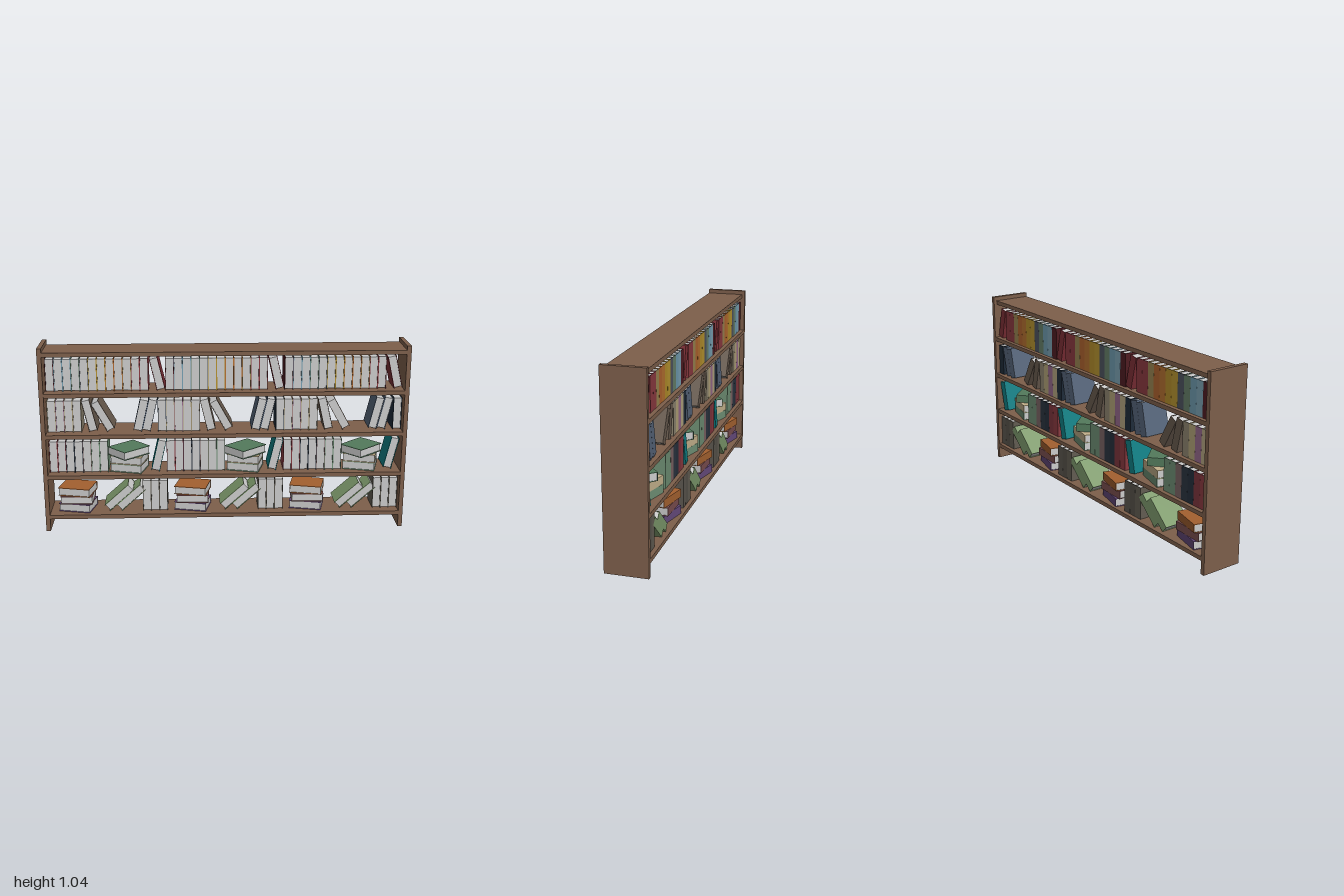
import * as THREE from 'three';

const T = 0.046, H = 0.18, D = 0.15, BOARD = 0.003; // book thickness, height, depth, cover board
const PERIOD = 0.648, START = -0.97, BOOK_Z = -0.026;

const materials = new Map();
function mat(color) {
  if (!materials.has(color)) materials.set(color, new THREE.MeshStandardMaterial({ color }));
  return materials.get(color);
}

// U-shaped binding: two boards joined by a spine on the -z side
function coverGeometry() {
  const a = T / 2, b = a - BOARD, d = D / 2;
  const u = new THREE.Shape([
    [-a, -d], [a, -d], [a, d], [b, d], [b, -d + BOARD], [-b, -d + BOARD], [-b, d], [-a, d],
  ].map(([x, y]) => new THREE.Vector2(x, y)));
  const g = new THREE.ExtrudeGeometry(u, { depth: H, bevelEnabled: false });
  return g.rotateX(Math.PI / 2).translate(0, H / 2, 0);
}

export function createModel() {
  const model = new THREE.Group();
  model.name = 'bookcase';
  const wood = 0x7d5f4b;

  function plank(name, w, h, d, x, y, z) {
    const m = new THREE.Mesh(new THREE.BoxGeometry(w, h, d), mat(wood));
    m.name = name;
    m.position.set(x, y, z);
    model.add(m);
  }

  // Frame: two side panels and five shelves, the top one shallower at the back
  for (const s of [-1, 1]) plank(s > 0 ? 'leftSide' : 'rightSide', 0.024, 1.042, 0.23, s * 0.988, 0.521, -0.01);
  const floors = [0.094, 0.327, 0.56, 0.793];
  floors.forEach((y, i) => plank('shelf' + (i + 1), 1.952, 0.023, 0.228, 0, y - 0.0115, -0.01));
  plank('topShelf', 1.952, 0.023, 0.212, 0, 1.0075, -0.001);

  const cover = coverGeometry();
  const block = new THREE.BoxGeometry(T - 2 * BOARD, H - 0.006, D - 0.008)
    .translate(0, 0, -0.002);

  function book(color, x, y, z, turn, tilt) {
    const g = new THREE.Group();
    g.name = 'book';
    const binding = new THREE.Mesh(cover, mat(color));
    binding.name = 'cover';
    const pages = new THREE.Mesh(block, mat(0xcccccc));
    pages.name = 'pages';
    g.add(binding, pages);
    g.position.set(x, y, z);
    g.rotation.set(0, turn, tilt);
    model.add(g);
  }

  const rad = THREE.MathUtils.degToRad;

  // Upright books side by side, from x
  function upright(x, floor, colors) {
    colors.forEach((c, i) => book(c, x + (i + 0.5) * 0.0463, floor + H / 2, BOOK_Z, 0, 0));
  }

  // One leaning book whose lowest corner rests on the shelf and leftmost corner is at x
  function leaning(x, floor, color, degrees) {
    const a = rad(degrees), c = Math.cos(a), s = Math.abs(Math.sin(a));
    book(color, x + (T * c + H * s) / 2, floor + (H * c + T * s) / 2, BOOK_Z, 0, a);
  }

  // Lying books, bottom to top: [color, turn in degrees, z]
  function stack(x, floor, list) {
    list.forEach(([c, deg, z], i) => book(c, x, floor + (i + 0.5) * T, z, rad(deg), Math.PI / 2));
  }

  // The same arrangement repeats three times along every shelf
  for (let i = 0; i < 3; i++) {
    const x = START + i * PERIOD;
    const [f1, f2, f3, f4] = floors;

    // Bottom shelf
    stack(x + 0.142, f1, [[0x664a7c, -13, -0.015], [0x7c4f50, -2, -0.015], [0xa3602f, -13, -0.015]]);
    leaning(x + 0.294, f1, 0x7e9a6c, -48);
    leaning(x + 0.361, f1, 0x7e9a6c, -48);
    upright(x + 0.51, f1, [0x625d52, 0x57534a, 0x5c574f]);

    // Second shelf
    upright(x, f2, [0x8a3a40, 0x7d343c, 0x26303c, 0x2b3440, 0x7c6464, 0x6f9075, 0x6f9075]);
    stack(x + 0.438, f2, [[0x6f9075, -15, -0.01], [0xc2b08a, -14, -0.01], [0x537a5c, 42, 0.012]]);
    leaning(x + 0.562, f2, 0x0f7f84, -13);

    // Third shelf
    upright(x, f3, [0xb5a680, 0x97698c, 0xb3a478, 0x8f8570]);
    leaning(x + 0.186, f3, 0x685a4e, 13);
    leaning(x + 0.238, f3, 0x685a4e, 29);
    leaning(x + 0.468, f3, 0x56657a, -13);
    leaning(x + 0.516, f3, 0x56657a, -13);
    upright(x + 0.603, f3, [0x1f2c3a]);

    // Upper shelf
    upright(x, f4, [0x4f1c22, 0x7ba3b5, 0x6f9bb0, 0x66806a, 0x4e545f, 0xb8952f,
      0xb38d2a, 0xb5702f, 0xb0632e, 0x9a8450, 0x8c3a40, 0x8c3a40]);
    leaning(x + 0.5605, f4, 0x7d2f36, 13);
  }
  return model;
}
